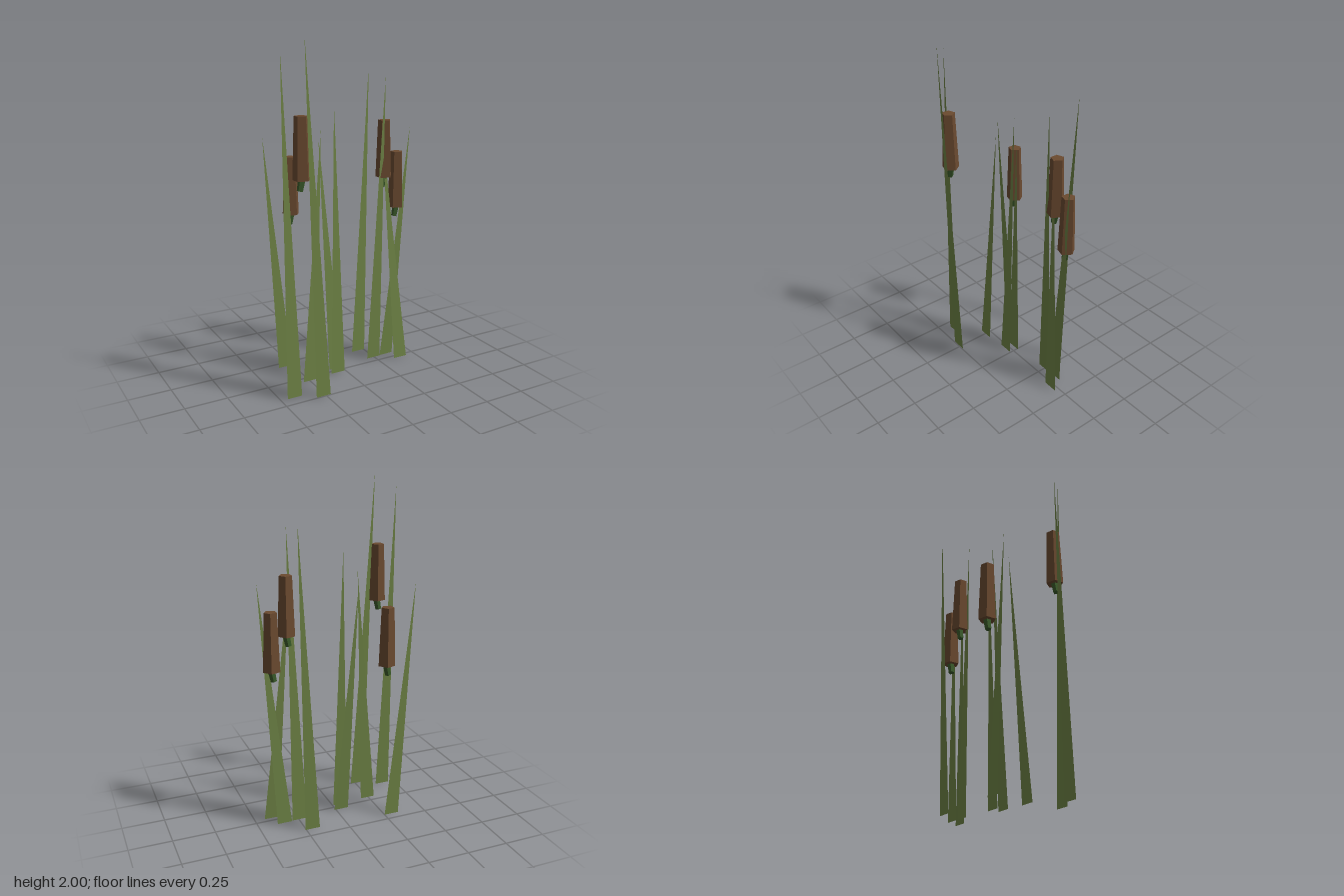
import * as THREE from 'three';

const leafMat = new THREE.MeshStandardMaterial({ color: 0x6f8446, flatShading: true, side: THREE.DoubleSide });
const stemMat = new THREE.MeshStandardMaterial({ color: 0x3a5a2a, flatShading: true });
const headMat = new THREE.MeshStandardMaterial({ color: 0x6b4a30, flatShading: true });

const LEAF_WIDTH = 0.09;
const HEAD_LENGTH = 0.34;

// Flat pointed leaf: base edge runs along x, tip leans away from it
function makeLeaf([left, z, tipX, tipY, tipZ]) {
  const geo = new THREE.BufferGeometry();
  geo.setAttribute('position', new THREE.Float32BufferAttribute(
    [left, 0, z, left + LEAF_WIDTH, 0, z, tipX, tipY, tipZ], 3));
  geo.computeVertexNormals();
  const leaf = new THREE.Mesh(geo, leafMat);
  leaf.name = 'leaf';
  return leaf;
}

// Five-sided seed head with a short leaning stalk below it
function makeSeedHead([x, bottom, z]) {
  const group = new THREE.Group();
  group.name = 'cattail';
  group.position.set(x, bottom, z);

  const headGeo = new THREE.CylinderGeometry(0.038, 0.05, HEAD_LENGTH, 5);
  headGeo.rotateY(Math.PI / 2); // one corner points to +x
  headGeo.translate(0, HEAD_LENGTH / 2, 0);
  const head = new THREE.Mesh(headGeo, headMat);
  head.name = 'seedHead';

  const stalkGeo = new THREE.CylinderGeometry(0.022, 0.018, 0.08, 5);
  stalkGeo.rotateY(Math.PI / 2);
  const stalk = new THREE.Mesh(stalkGeo, stemMat);
  stalk.name = 'stalk';
  stalk.position.set(-0.003, -0.02, 0);
  stalk.rotation.z = -0.2;

  group.add(head, stalk);
  return group;
}

export function createModel() {
  const model = new THREE.Group();
  model.name = 'cattailReeds';

  // Leaves: base left x, base z, tip x, tip y, tip z
  const leaves = [
    [-0.46, 0.18, -0.445, 1.93, 0.135],
    [-0.31, 0.245, -0.355, 2.0, 0.235],
    [-0.34, -0.2, -0.41, 1.43, -0.203],
    [-0.29, 0.04, -0.148, 1.48, 0.008],
    [-0.08, -0.03, -0.105, 1.41, -0.105],
    [-0.095, 0.025, -0.04, 1.61, -0.037],
    [0.165, -0.18, 0.287, 1.8, -0.205],
    [0.2, -0.05, 0.282, 1.76, -0.006],
    [0.35, 0.028, 0.286, 1.45, -0.047],
    [0.295, -0.055, 0.457, 1.46, -0.008],
  ];
  for (const l of leaves) model.add(makeLeaf(l));

  // Seed heads: x, bottom y, z
  const heads = [
    [-0.355, 1.25, 0.182],
    [-0.24, 0.965, -0.2],
    [0.305, 1.16, -0.05],
    [0.397, 0.965, -0.055],
  ];
  for (const h of heads) model.add(makeSeedHead(h));

  return model;
}
